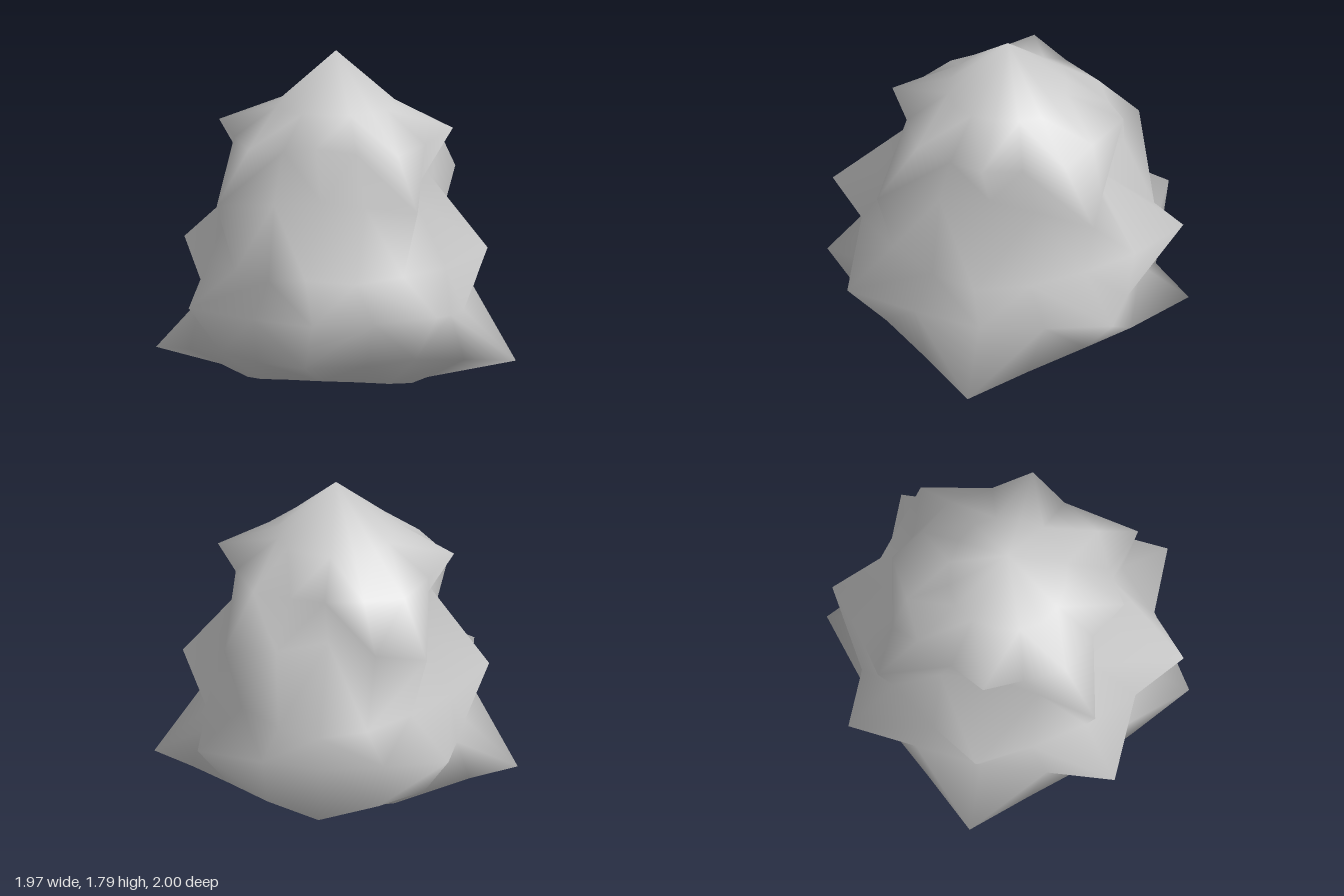
import * as THREE from 'three';

// Mirrors a quarter row into a ring of 16 points. side and end lie on the axes,
// diag on the diagonal, sideMid and endMid in between; backMid replaces endMid behind.
function ring({ side, sideMid, diag, endMid, end, backMid = endMid }) {
  const flip = ([x, y, z], sx, sz) => [x * sx, y, z * sz];
  const points = [];
  for (const sz of [1, -1]) {
    const half = [side, sideMid, diag, sz > 0 ? endMid : backMid, end];
    const first = half.map((p) => flip(p, sz, sz));
    const second = half.map((p) => flip(p, -sz, sz)).reverse();
    points.push(...first, ...second.slice(1, 4));
  }
  return points;
}

// Rows from top to bottom; spikes alternate between the axes and the diagonals
const rows = [
  // Shoulder of the top spike
  { side: [0.32, 1.5, 0], sideMid: [0.3, 1.5, 0.13], diag: [0.24, 1.5, 0.24],
    endMid: [0.13, 1.5, 0.3], end: [0, 1.5, 0.32] },
  // Axis spikes
  { side: [0.64, 1.385, 0], sideMid: [0.523, 1.335, 0.2], diag: [0.41, 1.31, 0.41],
    endMid: [0.2, 1.335, 0.515], end: [0, 1.385, 0.64] },
  // Diagonal spikes
  { side: [0.44, 1.045, 0], sideMid: [0.48, 1.04, 0.27], diag: [0.55, 1.04, 0.6],
    endMid: [0.25, 1.04, 0.52], end: [0, 1.045, 0.45], backMid: [0.27, 1.04, 0.58] },
  // Axis spikes
  { side: [0.83, 0.73, 0], sideMid: [0.65, 0.67, 0.27], diag: [0.46, 0.67, 0.53],
    endMid: [0.24, 0.67, 0.755], end: [0, 0.73, 0.97] },
  // Diagonal spikes
  { side: [0.7, 0.38, 0], sideMid: [0.69, 0.43, 0.36], diag: [0.68, 0.5, 0.735],
    endMid: [0.33, 0.45, 0.735], end: [0, 0.42, 0.735] },
  // Axis spikes
  { side: [0.985, 0.11, 0], sideMid: [0.75, 0.17, 0.28], diag: [0.53, 0.22, 0.55],
    endMid: [0.3, 0.22, 0.75], end: [0, 0.25, 1.0] },
  // Rim of the underside
  { side: [0.5, 0, 0], sideMid: [0.45, 0.01, 0.2], diag: [0.35, 0.035, 0.35],
    endMid: [0.2, 0.06, 0.45], end: [0, 0.07, 0.5] },
];

function bodyGeometry() {
  const points = rows.flatMap(ring);
  const apex = points.push([0, 1.79, 0]) - 1;
  const base = points.push([0, 0.05, 0]) - 1;
  const last = (rows.length - 1) * 16;
  const faces = [];
  for (let k = 0; k < 16; k++) {
    const n = (k + 1) % 16;
    const back = k >= 10 && k <= 13;
    faces.push(apex, n, k, base, last + k, last + n);
    // The quads split the other way on the back
    for (let u = 0; u < last; u += 16) {
      const [a, b, c, d] = [u + k, u + n, u + 16 + n, u + 16 + k];
      if ((k % 2 === 1) !== back) faces.push(a, b, c, a, c, d);
      else faces.push(a, b, d, b, c, d);
    }
  }
  const geometry = new THREE.BufferGeometry();
  geometry.setAttribute('position', new THREE.Float32BufferAttribute(points.flat(), 3));
  geometry.setIndex(faces);
  geometry.computeVertexNormals();
  return geometry;
}

export function createModel() {
  const body = new THREE.Mesh(bodyGeometry(), new THREE.MeshStandardMaterial({ color: 0xcccccc }));
  body.name = 'spikyBody';
  const group = new THREE.Group();
  group.name = 'spikyBush';
  group.add(body);
  return group;
}
